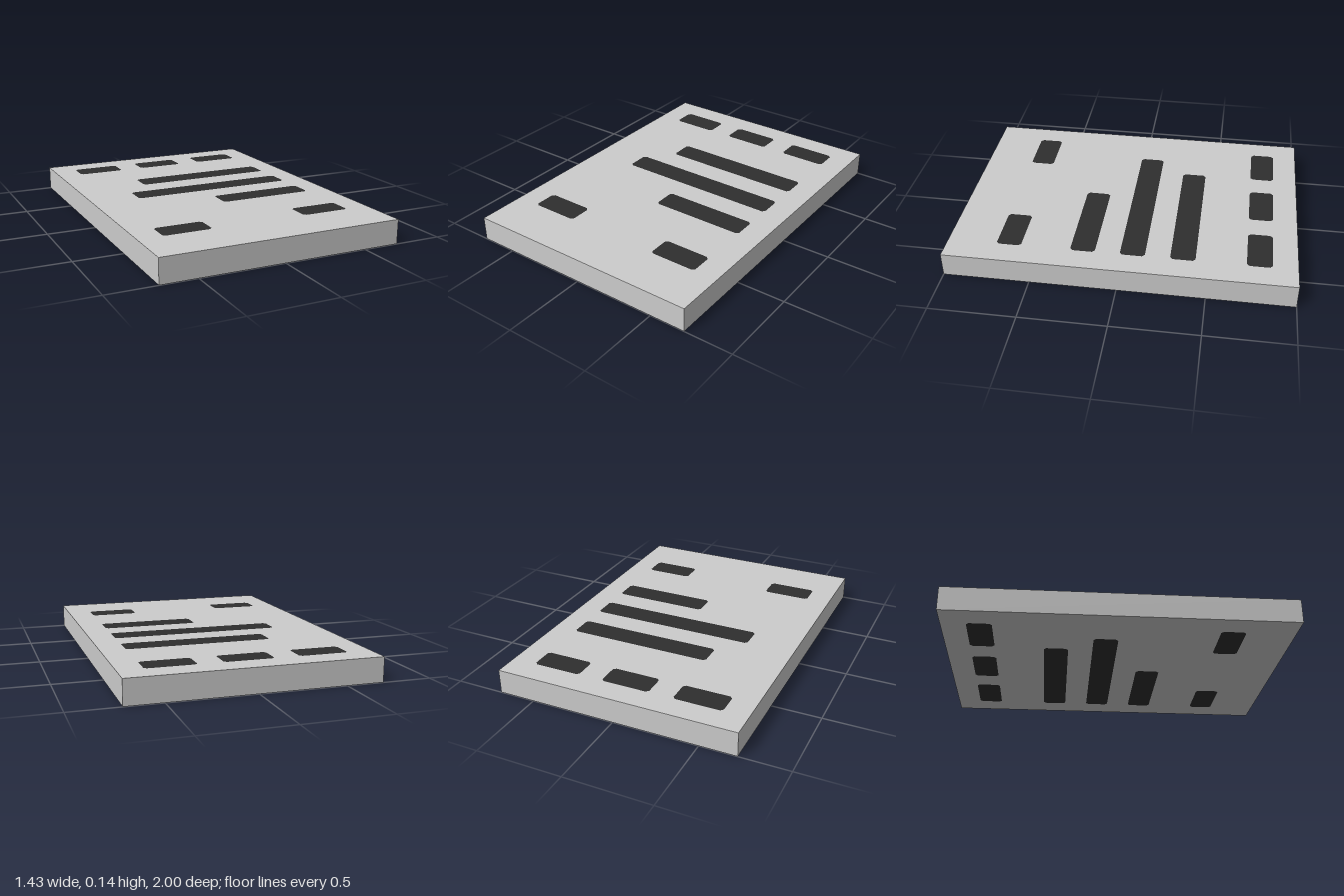
import * as THREE from 'three';

export function createModel() {
  const u = 1 / 7; // layout grid unit
  const paleGrey = new THREE.MeshStandardMaterial({ color: 0xcccccc });
  paleGrey.name = 'paleGrey';
  const charcoal = new THREE.MeshStandardMaterial({ color: 0x2e2e2e });
  charcoal.name = 'charcoal';

  const model = new THREE.Group();
  model.name = 'markedSlab';

  // Body
  const slab = new THREE.Mesh(new THREE.BoxGeometry(10 * u, u, 14 * u), paleGrey);
  slab.name = 'slab';
  slab.position.y = u / 2;
  model.add(slab);

  // Flat bar with slightly clipped corners
  function barShape(w, h, c = 0.015) {
    const x = w / 2, y = h / 2;
    return new THREE.Shape([
      [-x + c, -y], [x - c, -y], [x, -y + c], [x, y - c],
      [x - c, y], [-x + c, y], [-x, y - c], [-x, -y + c],
    ].map(([a, b]) => new THREE.Vector2(a, b)));
  }

  // Marks in grid units: name, x start, x end, z start (each one unit deep)
  const marks = [
    ['backMarkRight', -4, -2, -6], ['backMarkMiddle', -1, 1, -6], ['backMarkLeft', 2, 4, -6],
    ['mediumBar', -2, 4, -3], ['longBar', -3, 4, -1], ['shortBar', 0, 4, 1],
    ['frontMarkRight', -4, -2, 4], ['frontMarkLeft', 2, 4, 4],
  ];

  // The same pattern lies on the top and the underside
  const lift = 0.001;
  for (const [name, x0, x1, z0] of marks) {
    const geometry = new THREE.ShapeGeometry(barShape((x1 - x0) * u, u));
    for (const side of [1, -1]) {
      const mark = new THREE.Mesh(geometry, charcoal);
      mark.name = name + (side > 0 ? 'Top' : 'Underside');
      mark.rotation.x = -side * Math.PI / 2;
      mark.position.set((x0 + x1) / 2 * u, side > 0 ? u + lift : -lift, (z0 + 0.5) * u);
      model.add(mark);
    }
  }
  return model;
}
